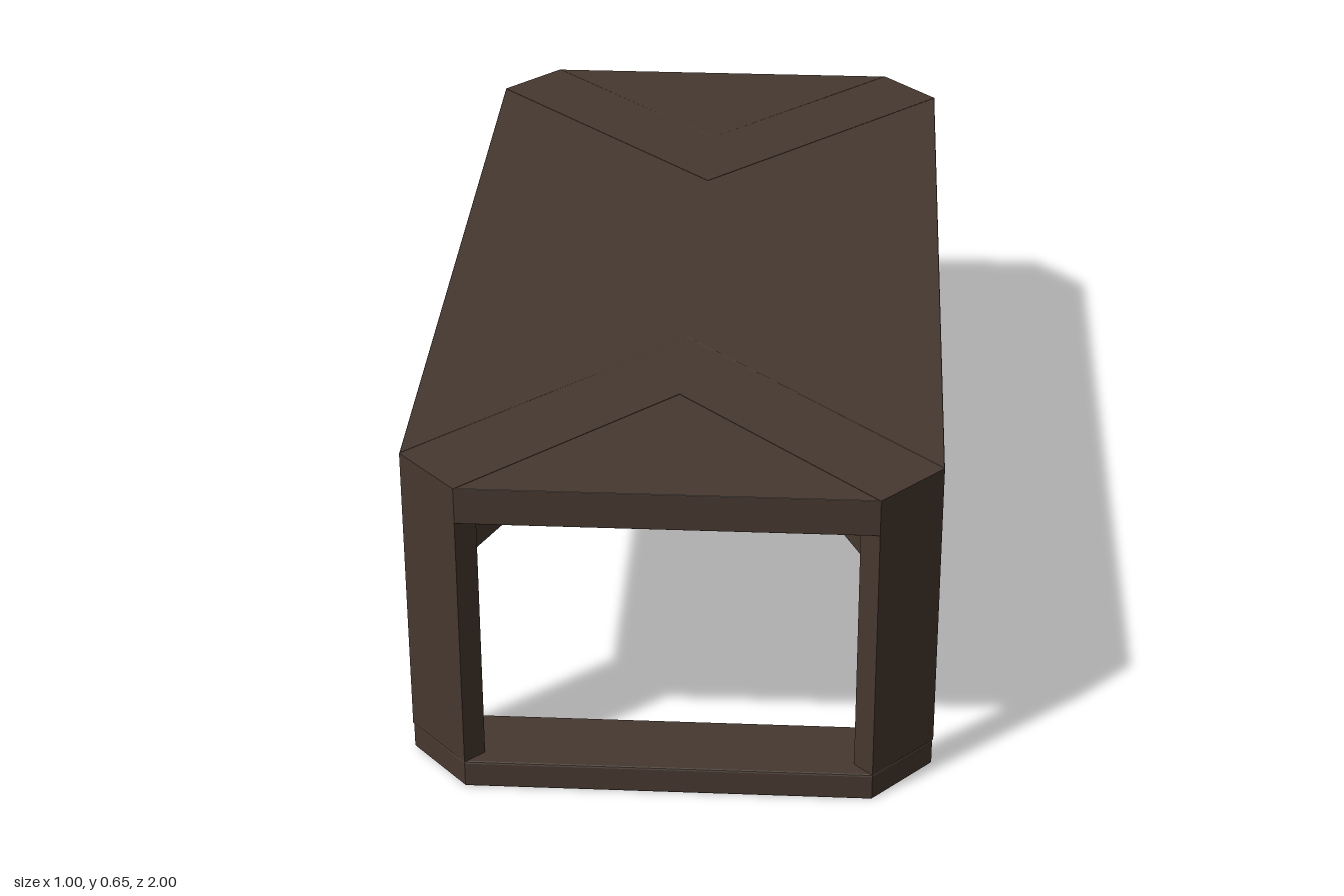
import * as THREE from 'three';

const wood = new THREE.MeshStandardMaterial({ color: 0x46382f });
wood.name = 'darkWood';

// Extrudes a plan outline of [x, z] points between two heights
function slab(name, points, y0, y1, bevel = 0) {
  const shape = new THREE.Shape(points.map(([x, z]) => new THREE.Vector2(x, z)));
  const geometry = new THREE.ExtrudeGeometry(shape, {
    depth: y1 - y0 - 2 * bevel,
    bevelEnabled: bevel > 0,
    bevelThickness: bevel,
    bevelSize: bevel,
    bevelOffset: -bevel,
    bevelSegments: 2,
  });
  geometry.rotateX(Math.PI / 2);
  geometry.translate(0, y1 - bevel, 0);
  const mesh = new THREE.Mesh(geometry, wood);
  mesh.name = name;
  return mesh;
}

export function createModel() {
  const table = new THREE.Group();
  table.name = 'table';

  const railTop = 0.055, braceBottom = 0.477, topBottom = 0.577, topHeight = 0.65;
  const bevel = 0.004;

  // Middle board of the top, notched by the chevrons at both ends
  table.add(slab('centreBoard', [
    [0.5, 0.875], [0, 0.378], [-0.5, 0.875],
    [-0.5, -0.875], [0, -0.378], [0.5, -0.875],
  ], topBottom, topHeight, 0.002));

  for (const side of ['front', 'back']) {
    const end = new THREE.Group();
    end.name = side + 'End';

    // V-shaped board and the triangle that fills it
    end.add(slab('chevronBoard', [
      [0.385, 1], [0.5, 0.875], [0, 0.378],
      [-0.5, 0.875], [-0.385, 1], [0, 0.615],
    ], topBottom, topHeight));
    end.add(slab('endTriangle', [[0.385, 1], [0, 0.615], [-0.385, 1]],
      topBottom, topHeight, 0.002));

    // Plank legs set across the corners
    for (const s of [1, -1]) {
      const plan = [[0.385, 1], [0.5, 0.875], [0.465, 0.84], [0.35, 0.965]];
      end.add(slab(s > 0 ? 'leftLeg' : 'rightLeg',
        plan.map(([x, z]) => [s * x, z]), railTop, topBottom));
    }

    // Floor rail joining the two legs
    end.add(slab('floorRail', [
      [0.385, 1], [0.498, 0.875], [0.465, 0.84],
      [-0.465, 0.84], [-0.498, 0.875], [-0.385, 1],
    ], 0, railTop, bevel));

    if (side === 'back') end.rotation.y = Math.PI;
    table.add(end);
  }

  // Crossed braces under the top, cut parallel to the legs
  for (const s of [1, -1]) {
    const x = 0.4075, z = 0.9025, dx = 0.037, dz = 0.04;
    const plan = [[x + dx, z - dz], [x - dx, z + dz], [-x - dx, -z + dz], [-x + dx, -z - dz]];
    table.add(slab('crossBrace', plan.map(([px, pz]) => [s * px, pz]), braceBottom, topBottom));
  }

  return table;
}
